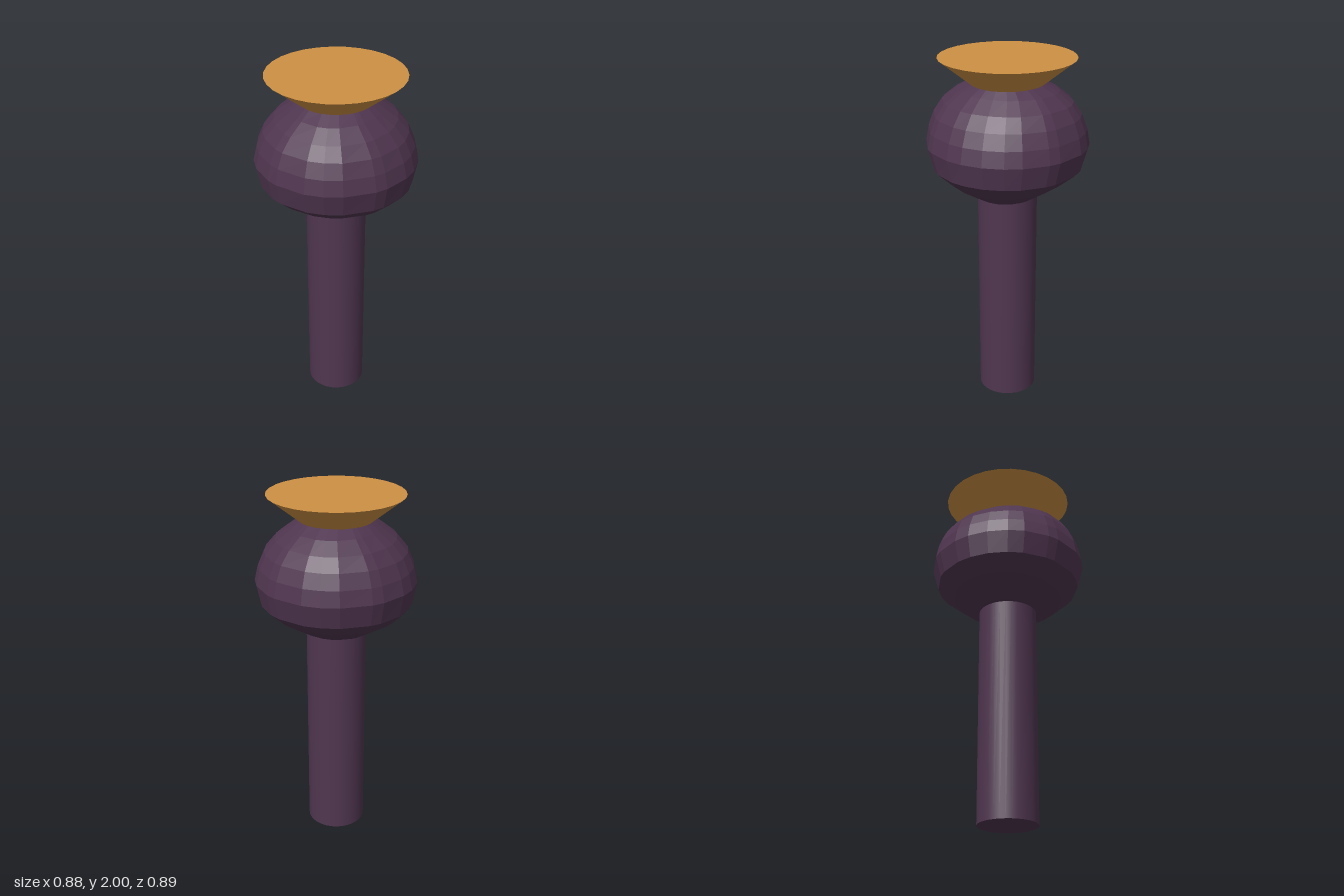
import * as THREE from 'three';

const purple = { color: 0x503650 };
const amber = { color: 0xcc9044 };

function addPart(group, name, geometry, options) {
  const mesh = new THREE.Mesh(geometry, new THREE.MeshStandardMaterial(options));
  mesh.name = name;
  group.add(mesh);
  return mesh;
}

// Faceted closed bulb from slightly oval rings: [y, radius in x, radius in z]
function bulbGeometry(rings) {
  const quarter = [0, 15, 27, 46, 54.5, 77]; // uneven facet angles
  const angles = [];
  for (let a = 0; a < 360; a += 180) {
    angles.push(...quarter.map(q => a + q), a + 90, ...quarter.slice(1).reverse().map(q => a + 180 - q));
  }
  const n = angles.length, pos = [], index = [];
  for (const [y, rx, rz] of rings) {
    for (const deg of angles) {
      const t = THREE.MathUtils.degToRad(deg);
      pos.push(rx * Math.cos(t), y, rz * Math.sin(t));
    }
  }
  for (let r = 0; r < rings.length - 1; r++) {
    for (let i = 0; i < n; i++) {
      const a = r * n + i, b = r * n + (i + 1) % n;
      index.push(a, a + n, b, b, a + n, b + n);
    }
  }
  // flat caps
  const bottom = pos.length / 3, last = (rings.length - 1) * n;
  pos.push(0, rings[0][0], 0, 0, rings.at(-1)[0], 0);
  for (let i = 0; i < n; i++) {
    const j = (i + 1) % n;
    index.push(bottom, i, j, bottom + 1, last + j, last + i);
  }
  const g = new THREE.BufferGeometry();
  g.setAttribute('position', new THREE.Float32BufferAttribute(pos, 3));
  g.setIndex(index);
  g.computeVertexNormals();
  return g;
}

export function createModel() {
  const group = new THREE.Group();

  // Straight round stem
  const stem = addPart(group, 'stem', new THREE.CylinderGeometry(0.165, 0.165, 1.26, 32), purple);
  stem.position.y = 0.63;

  // Faceted bulb
  addPart(group, 'bulb', bulbGeometry([
    [1.24, 0.19, 0.17],
    [1.33, 0.34, 0.31],
    [1.41, 0.415, 0.41],
    [1.535, 0.44, 0.445],
    [1.62, 0.42, 0.43],
    [1.7, 0.385, 0.4],
    [1.77, 0.325, 0.355],
    [1.83, 0.245, 0.28],
    [1.87, 0.19, 0.2],
  ]), { ...purple, flatShading: true });

  // Flared cup with a flat top
  const cup = addPart(group, 'flaredTop', new THREE.CylinderGeometry(0.37, 0.17, 0.16, 30), amber);
  cup.position.y = 1.92;

  return group;
}
